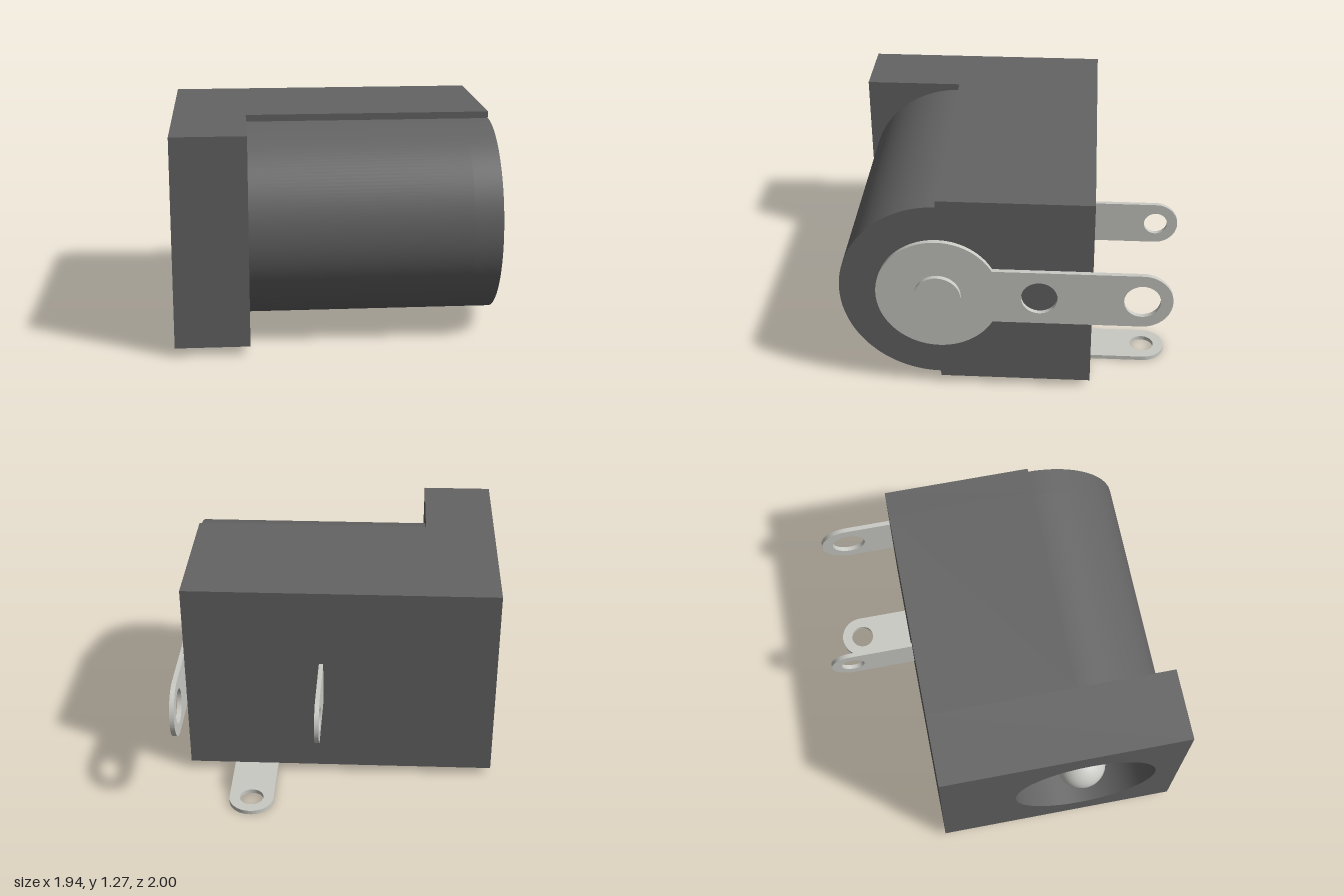
import * as THREE from 'three';
import { toCreasedNormals } from 'three/addons/utils/BufferGeometryUtils.js';

const AXIS_Y = 0.66, AXIS_Z = 0.41; // socket axis, running along x
const BACK = -0.48, BOTTOM = 0.05, TOP = 1.275;
const FLANGE_X = -0.96, SHOULDER_X = -0.53, END_X = 0.915;

const plastic = new THREE.MeshStandardMaterial({ color: 0x646464 });
const metal = new THREE.MeshStandardMaterial({ color: 0xcacac5 });

// Extrudes a (-z, y) outline along +x, from x0 to x1.
function extrudeX(shape, x0, x1) {
  const geo = new THREE.ExtrudeGeometry(shape, { depth: x1 - x0, bevelEnabled: false, curveSegments: 40 });
  geo.rotateY(Math.PI / 2).translate(x0, 0, 0);
  return toCreasedNormals(geo, 0.5);
}

function circle(s, t, r) {
  return new THREE.Path().absarc(s, t, r, 0, Math.PI * 2, true);
}

function add(parent, name, geo, mat) {
  const mesh = new THREE.Mesh(geo, mat);
  mesh.name = name;
  parent.add(mesh);
  return mesh;
}

// Square mouth block outline
function flangeShape() {
  const s = new THREE.Shape();
  s.moveTo(-1, BOTTOM).lineTo(-BACK, BOTTOM).lineTo(-BACK, TOP).lineTo(-1, TOP).closePath();
  return s;
}

// Square back with a half-round barrel in front, set in by a small step
function barrelShape() {
  const s = new THREE.Shape();
  s.moveTo(-AXIS_Z, BOTTOM).lineTo(-BACK, BOTTOM).lineTo(-BACK, TOP).lineTo(-AXIS_Z, TOP);
  s.absarc(-AXIS_Z, AXIS_Y, 0.575, Math.PI / 2, Math.PI * 1.5, false);
  s.closePath();
  return s;
}

// Round-ended strap from s0 to the centre s1 of its tip, with a hole in the tip
function strapShape(s0, s1, t, r, holeR) {
  const s = new THREE.Shape();
  s.moveTo(s0, t - r).lineTo(s1, t - r);
  s.absarc(s1, t, r, -Math.PI / 2, Math.PI / 2, false);
  s.lineTo(s0, t + r).closePath();
  s.holes.push(circle(s1, t, holeR));
  return s;
}

// Disc and arm in one outline, with two holes in the arm
function sidePlateShape() {
  const R = 0.36, r = 0.175, tip = 0.765, a = Math.asin(r / R);
  const s = new THREE.Shape();
  s.absarc(-AXIS_Z, AXIS_Y, R, a, Math.PI * 2 - a, false);
  s.lineTo(tip, AXIS_Y - r);
  s.absarc(tip, AXIS_Y, r, -Math.PI / 2, Math.PI / 2, false);
  s.closePath();
  s.holes.push(circle(0.175, AXIS_Y, 0.105), circle(tip, AXIS_Y, 0.105));
  return s;
}

export function createModel() {
  const model = new THREE.Group();
  model.name = 'powerSocket';

  // Plastic housing with a deep round bore open at -x
  const housing = new THREE.Group();
  housing.name = 'housing';
  model.add(housing);
  const bore = () => circle(-AXIS_Z, AXIS_Y, 0.435);
  const flange = flangeShape(), barrel = barrelShape();
  flange.holes.push(bore());
  barrel.holes.push(bore());
  add(housing, 'mouthBlock', extrudeX(flange, FLANGE_X, SHOULDER_X), plastic);
  add(housing, 'barrel', extrudeX(barrel, SHOULDER_X, 0.75), plastic);
  add(housing, 'barrelEnd', extrudeX(barrelShape(), 0.75, END_X), plastic);

  // Centre pin with a domed tip; its tail shows as a rivet on the side plate
  const R = 0.15, tipX = -0.973;
  const profile = [];
  for (let i = 0; i <= 12; i++) {
    const a = (i / 12) * Math.PI / 2;
    profile.push(new THREE.Vector2(R * Math.cos(a), -tipX - R + R * Math.sin(a)));
  }
  profile[12].x = 0;
  profile.unshift(new THREE.Vector2(R, -0.78));
  const pin = new THREE.LatheGeometry(profile, 40);
  pin.rotateZ(Math.PI / 2).translate(0, AXIS_Y, AXIS_Z);
  add(model, 'centrePin', pin, metal);

  const rivet = new THREE.CylinderGeometry(0.135, 0.135, 0.055, 40);
  rivet.rotateZ(Math.PI / 2).translate(0.9435, AXIS_Y, AXIS_Z);
  add(model, 'rivet', rivet, metal);

  // Side terminal on the +x end
  add(model, 'sideTerminal', extrudeX(sidePlateShape(), END_X, 0.943), metal);

  // Upright terminal out of the back wall
  add(model, 'backTerminal', extrudeX(strapShape(0.45, 0.865, AXIS_Y, 0.135, 0.072), 0.08, 0.106), metal);

  // Flat terminal under the housing, with a bend going up into it
  const bottom = new THREE.Group();
  bottom.name = 'bottomTerminal';
  model.add(bottom);
  const strap = add(bottom, 'bottomStrap', extrudeX(strapShape(-0.02, 0.798, 0, 0.135, 0.072), 0, 0.026), metal);
  strap.rotation.z = Math.PI / 2;
  strap.position.x = 0.505;
  const bend = new THREE.Shape();
  bend.moveTo(-0.02, 0).lineTo(-0.02, 0.026);
  bend.quadraticCurveTo(-0.031, 0.026, -0.031, 0.037);
  bend.lineTo(-0.031, 0.08).lineTo(-0.056, 0.08).lineTo(-0.056, 0.03);
  bend.quadraticCurveTo(-0.056, 0, -0.02, 0);
  add(bottom, 'bottomBend', extrudeX(bend, 0.37, 0.64), metal);

  return model;
}
